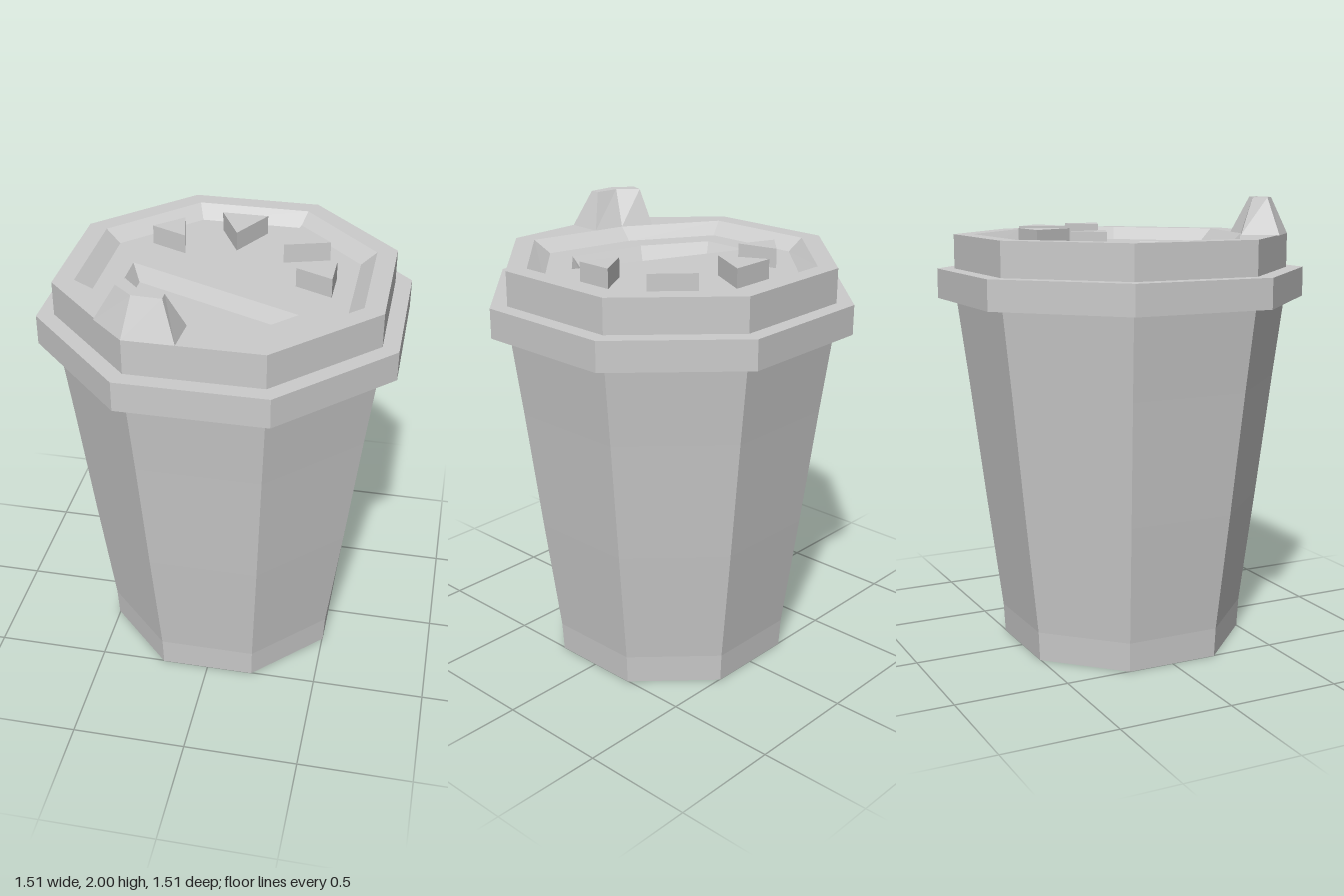
import * as THREE from 'three';

const material = new THREE.MeshStandardMaterial({ color: 0xcccccc, flatShading: true });

// Outlines are [x, z] points, counter-clockwise seen from above, starting at the front.
function octagon(a) {
  const c = a * Math.tan(Math.PI / 8);
  return [[-c, a], [c, a], [a, c], [a, -c], [c, -a], [-c, -a], [-a, -c], [-a, c]];
}

// Skin a series of { y, outline } rings that share a point count.
function loft(name, rings) {
  const positions = [];
  for (let r = 0; r + 1 < rings.length; r++) {
    const lower = rings[r], upper = rings[r + 1], n = lower.outline.length;
    for (let i = 0; i < n; i++) {
      const point = (ring, k) => [ring.outline[k % n][0], ring.y, ring.outline[k % n][1]];
      const a = point(lower, i), b = point(lower, i + 1);
      const c = point(upper, i + 1), d = point(upper, i);
      positions.push(...a, ...b, ...c, ...a, ...c, ...d);
    }
  }
  const geometry = new THREE.BufferGeometry();
  geometry.setAttribute('position', new THREE.Float32BufferAttribute(positions, 3));
  geometry.computeVertexNormals();
  return named(name, geometry);
}

function named(name, geometry) {
  const mesh = new THREE.Mesh(geometry, material);
  mesh.name = name;
  return mesh;
}

const toVectors = (outline) => outline.map(([x, z]) => new THREE.Vector2(x, -z));

// Flat horizontal face, facing up unless told otherwise.
function plate(name, y, outline, { hole, down = false } = {}) {
  const shape = new THREE.Shape(toVectors(outline));
  if (hole) shape.holes.push(new THREE.Path(toVectors(hole)));
  const geometry = new THREE.ShapeGeometry(shape).rotateX(-Math.PI / 2);
  if (down) geometry.rotateX(Math.PI);
  return named(name, geometry.translate(0, y, 0));
}

export function createModel() {
  const model = new THREE.Group();
  model.name = 'takeawayCup';
  const rimY = 1.84, floorY = 1.785, slotY = 1.725;

  // Tapered cup with a short foot
  const profile = [[0.503, 0], [0.51, 0.13], [0.574, 0.66], [0.636, 1.2], [0.68, 1.56]];
  model.add(loft('cupWall', profile.map(([a, y]) => ({ y, outline: octagon(a) }))));
  model.add(plate('cupBase', 0, octagon(0.503), { down: true }));

  // Lid: flange, collar, rim and sloped recess, dented behind the spout
  const recessTop = [[-0.2, 0.495], [0.25, 0.6], [0.6, 0.25], [0.6, -0.25],
    [0.25, -0.605], [-0.25, -0.605], [-0.6, -0.25], [-0.6, 0.245]];
  const recessFloor = [[-0.185, 0.435], [0.22, 0.53], [0.535, 0.22], [0.535, -0.23],
    [0.225, -0.54], [-0.225, -0.54], [-0.535, -0.23], [-0.535, 0.22]];
  model.add(loft('lid', [
    { y: 1.56, outline: octagon(0.68) },
    { y: 1.56, outline: octagon(0.755) },
    { y: 1.69, outline: octagon(0.755) },
    { y: 1.69, outline: octagon(0.685) },
    { y: rimY, outline: octagon(0.685) },
    { y: rimY, outline: recessTop },
    { y: floorY, outline: recessFloor },
  ]));

  // Sunken slot in the lid floor
  const slotTop = [[-0.43, 0.16], [-0.155, 0.33], [0.19, 0.415], [0.34, 0.26], [-0.43, -0.06]];
  const slotFloor = [[-0.39, 0.135], [-0.13, 0.295], [0.175, 0.37], [0.265, 0.27], [-0.39, 0]];
  model.add(plate('lidFloor', floorY, recessFloor, { hole: slotTop }));
  model.add(loft('slotWall', [{ y: floorY, outline: slotTop }, { y: slotY, outline: slotFloor }]));
  model.add(plate('slotFloor', slotY, slotFloor));

  // Drinking spout on the front right of the rim
  const spoutBase = [[-0.43, 0.55], [-0.284, 0.685], [-0.07, 0.685],
    [-0.06, 0.525], [-0.2, 0.495], [-0.325, 0.42]];
  const spoutTop = [[-0.335, 0.545], [-0.255, 0.615], [-0.13, 0.62],
    [-0.13, 0.58], [-0.235, 0.565], [-0.31, 0.485]];
  model.add(loft('spoutWall', [{ y: rimY, outline: spoutBase }, { y: 2, outline: spoutTop }]));
  model.add(plate('spoutTop', 2, spoutTop));

  // Triangular studs around the back of the lid floor
  const studs = [
    [[-0.39, -0.26], [-0.23, -0.19], [-0.27, -0.37]],
    [[-0.115, -0.455], [-0.015, -0.26], [0.09, -0.455]],
    [[0.25, -0.39], [0.205, -0.185], [0.4, -0.245]],
    [[0.29, 0.02], [0.45, 0.09], [0.45, -0.075]],
  ];
  for (const outline of studs) {
    const geometry = new THREE.ExtrudeGeometry(new THREE.Shape(toVectors(outline)),
      { depth: 1.87 - floorY, bevelEnabled: false });
    model.add(named('stud', geometry.rotateX(-Math.PI / 2).translate(0, floorY, 0)));
  }
  return model;
}
